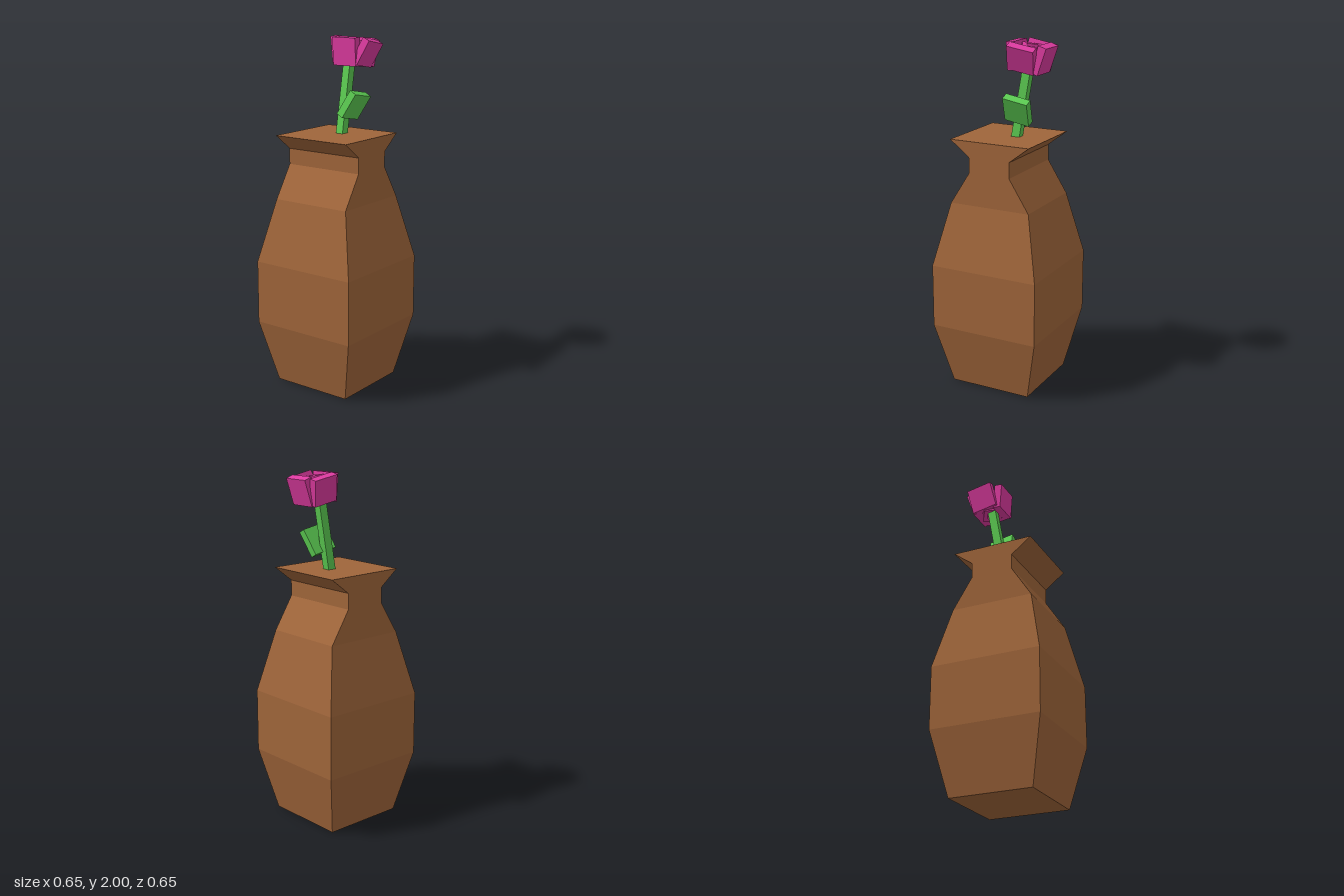
import * as THREE from 'three';

const material = (color) => new THREE.MeshStandardMaterial({ color, flatShading: true });
const rad = THREE.MathUtils.degToRad;

// Square-sectioned solid lofted through rings of [y, half width, half depth]
function loftGeometry(rings) {
  const corners = [[1, 1], [1, -1], [-1, -1], [-1, 1]];
  const positions = rings.flatMap(([y, w, d]) => corners.flatMap(([x, z]) => [x * w, y, z * d]));
  const index = [];
  const quad = (a, b, c, d) => index.push(a, b, c, a, c, d);
  for (let r = 0; r < rings.length - 1; r++) {
    for (let i = 0; i < 4; i++) {
      const j = (i + 1) % 4;
      quad(r * 4 + i, r * 4 + j, r * 4 + 4 + j, r * 4 + 4 + i);
    }
  }
  const top = (rings.length - 1) * 4;
  quad(top, top + 1, top + 2, top + 3);
  quad(3, 2, 1, 0);
  const indexed = new THREE.BufferGeometry();
  indexed.setAttribute('position', new THREE.Float32BufferAttribute(positions, 3));
  indexed.setIndex(index);
  const geometry = indexed.toNonIndexed();
  geometry.computeVertexNormals();
  return geometry;
}

// Box with its size, centre and rotation in degrees
function block(name, mat, size, position, rotation = [0, 0, 0]) {
  const mesh = new THREE.Mesh(new THREE.BoxGeometry(...size), mat);
  mesh.name = name;
  mesh.position.set(...position);
  mesh.rotation.set(...rotation.map(rad));
  return mesh;
}

export function createModel() {
  const model = new THREE.Group();
  model.name = 'flowerVase';
  const clay = material(0x9f653a);
  const green = material(0x5ccb52);
  const pink = material(0xdd3ba0);
  const lean = -10;

  // Vase: square body, neck pinched front to back, flared lip
  const vase = new THREE.Mesh(loftGeometry([
    [0, 0.243, 0.243],
    [0.365, 0.325, 0.325],
    [0.73, 0.325, 0.325],
    [1.095, 0.243, 0.243],
    [1.28, 0.243, 0.125],
    [1.37, 0.243, 0.125],
    [1.46, 0.243, 0.243],
  ]), clay);
  vase.name = 'vase';
  model.add(vase);

  // Stem and leaf, leaning backwards
  model.add(block('stem', green, [0.046, 0.46, 0.05], [0, 1.67, -0.084], [lean, 0, 0]));
  model.add(block('leaf', green, [0.045, 0.155, 0.15], [0.06, 1.62, -0.08], [lean, 0, -29]));

  // Outer petals, opening outwards
  const flower = new THREE.Group();
  flower.name = 'flower';
  flower.add(
    block('frontPetal', pink, [0.155, 0.157, 0.048], [0.022, 1.92, -0.06], [4, 0, 0]),
    block('backPetal', pink, [0.155, 0.155, 0.048], [0.022, 1.905, -0.221], [-19, 0, 0]),
    block('leftPetal', pink, [0.045, 0.15, 0.155], [0.112, 1.912, -0.131], [lean, 4, -25]),
    block('rightPetal', pink, [0.045, 0.15, 0.155], [-0.07, 1.914, -0.15], [lean, 0, 13]),
  );

  // Inner petals: a twisted square ring
  const bud = new THREE.Group();
  bud.name = 'innerPetals';
  bud.position.set(0.018, 1.905, -0.138);
  bud.rotation.set(rad(lean), rad(29), 0);
  for (let i = 0; i < 4; i++) {
    const turn = new THREE.Group();
    turn.rotation.y = i * Math.PI / 2;
    turn.add(block('innerPetal', pink, [0.026, 0.14, 0.09], [-0.043, 0, 0.011]));
    bud.add(turn);
  }
  flower.add(bud);
  model.add(flower);

  return model;
}
